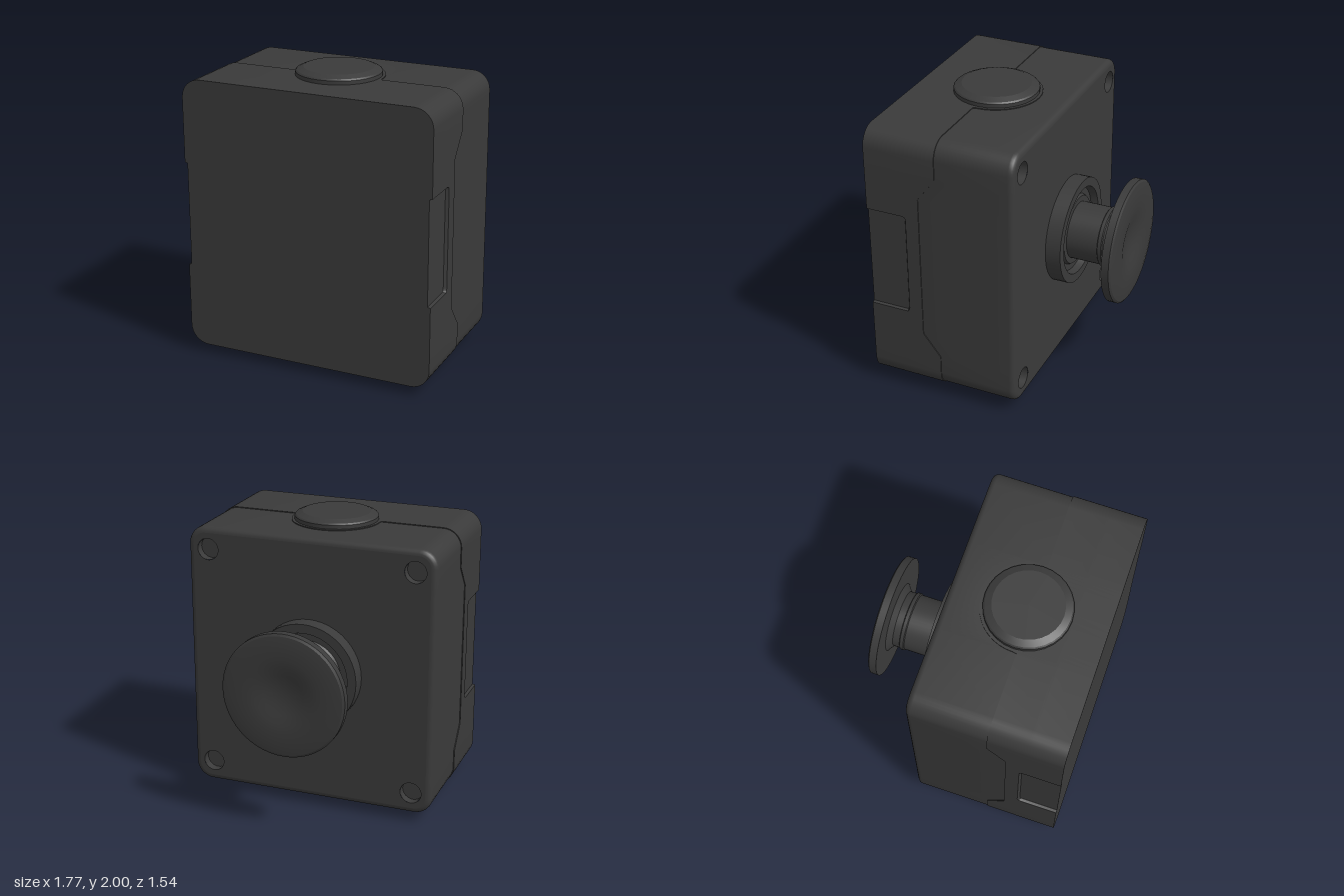
import * as THREE from 'three';
import { toCreasedNormals } from 'three/addons/utils/BufferGeometryUtils.js';

const HW = 0.885, HH = 0.9425, R = 0.13, MID = 1.0025;
const FRONT = 0.77, BACK = -0.28, PLUG_Z = 0.24, ARC = 0.31;
const material = new THREE.MeshStandardMaterial({ color: 0x3a3a3a });

function add(parent, name, geometry, crease = 0.5) {
  const mesh = new THREE.Mesh(toCreasedNormals(geometry, crease), material);
  mesh.name = name;
  parent.add(mesh);
  return mesh;
}

function lathe(points, segments = 40) {
  return new THREE.LatheGeometry(points.map(([r, y]) => new THREE.Vector2(r, y)), segments);
}

// Height of the recess edge along z, with rounded corners
function recessZ(y) {
  const a = Math.min(0.04, Math.max(0, Math.abs(y) - 0.335));
  return 0.525 - Math.sqrt(0.0016 - a * a);
}

// Columns round the housing outline: position, outward normal, seam depth, recess flag
function outline() {
  const half = [0.36, 0.366, 0.375, 0.5175, 0.6775];
  const sideY = [...half.map(v => -v).reverse(), -0.35, -0.335, 0, 0.335, 0.35, ...half];
  const topX = [0.315];
  for (let i = 0; i <= 20; i++) topX.push(ARC * Math.cos(Math.PI * i / 20));
  topX.push(-0.315);

  const sideSeam = y => 0.265 + 0.125 * THREE.MathUtils.clamp((0.6775 - Math.abs(y)) / 0.16, 0, 1);
  const topSeam = x => Math.abs(x) > 0.312 ? 0.265
    : PLUG_Z - Math.sqrt(Math.max(0, ARC * ARC - x * x));
  const columns = [];
  for (const s of [1, -1]) {
    for (const y of sideY) {
      columns.push({ x: s * HW, y: s * y, nx: s, ny: 0, seam: sideSeam(y), cut: Math.abs(y) < 0.362 });
    }
    const corner = (sx, sy, start) => {
      for (let i = 0; i <= 8; i++) {
        const a = start + Math.PI / 2 * i / 8, nx = Math.cos(a), ny = Math.sin(a);
        columns.push({ x: sx * (HW - R) + R * nx, y: sy * (HH - R) + R * ny, nx, ny, seam: 0.265, cut: false });
      }
    };
    corner(s, s, s > 0 ? 0 : Math.PI);
    for (const x of topX) columns.push({ x: s * x, y: s * HH, nx: 0, ny: s, seam: topSeam(x), cut: false });
    corner(-s, s, s > 0 ? Math.PI / 2 : Math.PI * 1.5);
  }
  return columns;
}

// Wall skinned through rows; each row maps a column to [z, inset], front to back
function wall(columns, rows) {
  const pos = [], index = [], n = columns.length;
  for (const row of rows) {
    for (const c of columns) {
      const [z, d] = row(c);
      pos.push(c.x - c.nx * d, c.y - c.ny * d, z);
    }
  }
  for (let r = 0; r < rows.length - 1; r++) {
    for (let i = 0; i < n; i++) {
      const a = r * n + i, b = r * n + (i + 1) % n;
      index.push(a, a + n, b, b, a + n, b + n);
    }
  }
  const g = new THREE.BufferGeometry();
  g.setAttribute('position', new THREE.Float32BufferAttribute(pos, 3));
  g.setIndex(index);
  return g;
}

function face(columns, inset) {
  return new THREE.Shape(columns.map(c => {
    const d = inset(c);
    return new THREE.Vector2(c.x - c.nx * d, c.y - c.ny * d);
  }));
}

export function createModel() {
  const model = new THREE.Group();
  model.name = 'pushButtonBox';
  const housing = new THREE.Group();
  housing.name = 'housing';
  housing.position.y = MID;
  model.add(housing);
  const columns = outline();

  // Base half with shallow side recesses open to the mounting face
  const cutInset = c => c.cut ? 0.02 : 0;
  add(housing, 'baseWall', wall(columns, [
    c => [FRONT, cutInset(c)],
    c => [recessZ(c.y) + 0.013, cutInset(c)],
    c => [recessZ(c.y), 0],
    c => [c.seam, 0],
    c => [c.seam, 0.014],
  ]));
  add(housing, 'mountingFace', new THREE.ShapeGeometry(face(columns, cutInset)).translate(0, 0, FRONT));

  // Lid half, slightly smaller, with a rounded rim
  const rim = [];
  for (let i = 0; i <= 5; i++) {
    const a = Math.PI / 2 * i / 5;
    rim.push(() => [BACK + 0.04 * (1 - Math.sin(a)), 0.005 + 0.04 * (1 - Math.cos(a))]);
  }
  add(housing, 'lidWall', wall(columns, [c => [c.seam, 0.006], ...rim]));
  const lidShape = face(columns, () => 0.045);
  const holeR = 0.075, holeDepth = 0.06;
  for (const sx of [1, -1]) {
    for (const sy of [1, -1]) {
      const x = sx * 0.735, y = sy * 0.785;
      lidShape.holes.push(new THREE.Path().absarc(x, y, holeR, 0, Math.PI * 2, true));
      // Screw well: floor and inward-facing wall
      const well = add(housing, 'screwWell',
        lathe([[0, -holeDepth], [holeR, -holeDepth], [holeR, 0]].reverse(), 24).rotateX(-Math.PI / 2));
      well.position.set(x, y, BACK);
    }
  }
  add(housing, 'lidFace', new THREE.ShapeGeometry(lidShape, 24).rotateY(Math.PI).translate(0, 0, BACK));

  // Cable entry plugs, top and bottom
  const plugProfile = [[0.29, -0.03], [0.29, 0.026], [0.28, 0.036], [0.235, 0.055], [0, 0.055]];
  for (const s of [1, -1]) {
    const plug = add(model, s > 0 ? 'topPlug' : 'bottomPlug', lathe(plugProfile, 28), 0.3);
    plug.position.set(0, s > 0 ? 1.945 : 0.055, PLUG_Z);
    if (s < 0) plug.rotation.x = Math.PI;
  }

  // Button pointing out of the lid
  const button = new THREE.Group();
  button.name = 'button';
  button.position.y = 1.003;
  button.rotation.x = -Math.PI / 2;
  model.add(button);
  add(button, 'collar', lathe([
    [0.373, 0.275], [0.373, 0.387], [0.31, 0.387], [0.295, 0.34], [0.25, 0.34], [0.24, 0.36], [0.19, 0.36],
  ], 48));
  add(button, 'shaft', lathe([
    [0.2, 0.28], [0.2, 0.58], [0.208, 0.586], [0.208, 0.61], [0.2, 0.616], [0.2, 0.665], [0.25, 0.702],
  ], 48));
  add(button, 'mushroomHead', lathe([
    [0.2, 0.7], [0.43, 0.7], [0.43, 0.752], [0.415, 0.762], [0.36, 0.77], [0.26, 0.77],
    [0.2, 0.764], [0.14, 0.75], [0.08, 0.738], [0, 0.733],
  ], 56), 0.4);
  return model;
}
